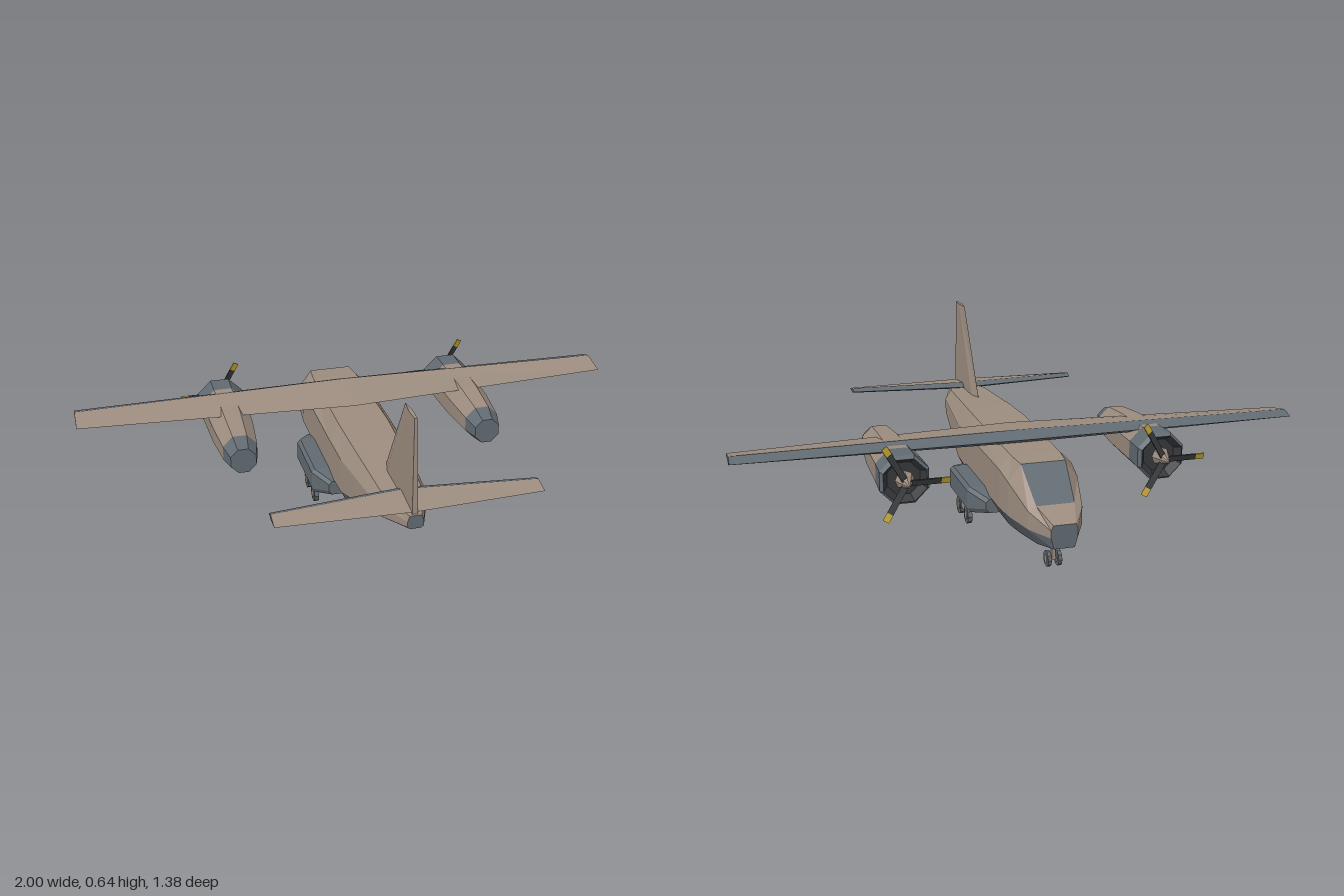
import * as THREE from 'three';

const material = (name, color) => {
  const m = new THREE.MeshStandardMaterial({ color });
  m.name = name;
  return m;
};

export function createModel() {
  const tan = material('tan paint', 0x9c8c7f);
  const grey = material('slate grey', 0x616a71);
  const dark = material('dark metal', 0x36383a);
  const yellow = material('yellow tip', 0xc2a233);
  const root = new THREE.Group();
  root.name = 'aircraft';

  const add = (parent, name, geometry, mat, x = 0, y = 0, z = 0) => {
    const g = geometry.index ? geometry.toNonIndexed() : geometry;
    g.computeVertexNormals(); // unshared corners give flat facets
    const mesh = new THREE.Mesh(g, mat);
    mesh.name = name;
    mesh.position.set(x, y, z);
    parent.add(mesh);
    return mesh;
  };

  // Skin a row of rings; pick(segment, side) chooses the material, caps use segment -1 and 'end'
  const loft = (parent, name, rings, pick) => {
    const tris = [];
    const n = rings[0].length;
    for (let s = 0; s < rings.length - 1; s++) {
      for (let i = 0; i < n; i++) {
        const j = (i + 1) % n;
        const [a, b, c, d] = [rings[s][i], rings[s][j], rings[s + 1][j], rings[s + 1][i]];
        tris.push([pick(s, i), a, b, c], [pick(s, i), a, c, d]);
      }
    }
    const first = rings[0], last = rings[rings.length - 1];
    for (let i = 1; i < n - 1; i++) {
      tris.push([pick(-1, i), first[0], first[i + 1], first[i]]);
      tris.push([pick('end', i), last[0], last[i], last[i + 1]]);
    }
    // Turn the faces outwards if the enclosed volume is negative
    const v = (p) => new THREE.Vector3(...p);
    const volume = tris.reduce((t, [, a, b, c]) => t + v(a).dot(v(b).cross(v(c))), 0);
    const group = new THREE.Group();
    group.name = name;
    for (const mat of new Set(tris.map((t) => t[0]))) {
      const pos = tris.filter((t) => t[0] === mat)
        .flatMap(([, a, b, c]) => (volume < 0 ? [a, c, b] : [a, b, c])).flat();
      const g = new THREE.BufferGeometry();
      g.setAttribute('position', new THREE.Float32BufferAttribute(pos, 3));
      add(group, `${name} ${mat.name}`, g, mat);
    }
    parent.add(group);
    return group;
  };

  // Fuselage: z, belly half width, side half width, roof half width, then four heights upwards
  const body = [
    [-0.69, 0.035, 0.045, 0.038, 0.105, 0.142, 0.168, 0.185],
    [-0.595, 0.06, 0.092, 0.065, 0.09, 0.143, 0.205, 0.22],
    [-0.465, 0.08, 0.12, 0.077, 0.082, 0.145, 0.262, 0.322],
    [-0.38, 0.09, 0.128, 0.085, 0.08, 0.145, 0.282, 0.326],
    [0.05, 0.09, 0.128, 0.09, 0.08, 0.145, 0.282, 0.335],
    [0.2, 0.088, 0.122, 0.085, 0.08, 0.146, 0.275, 0.332],
    [0.51, 0.065, 0.093, 0.07, 0.218, 0.234, 0.285, 0.32],
    [0.69, 0.018, 0.027, 0.02, 0.265, 0.272, 0.292, 0.312],
  ].map(([z, b, w, t, y0, y1, y2, y3]) => {
    const half = [[b, y0, z], [w, y1, z], [w, y2, z], [t, y3, z]];
    return [...half, ...half.map(([x, y]) => [-x, y, z]).reverse()];
  });
  loft(root, 'fuselage', body, (s, i) => {
    if (s === -1 || s === 'end') return grey;
    if (s === 1 && i === 3) return grey; // windscreen
    return i === 0 || i >= 6 ? grey : tan;
  });

  // Wing and tailplane: four-point section with a grey leading edge
  const section = (x, lead, crest, trail, y, up, down) =>
    [[x, y, lead], [x, y + up, crest], [x, y - 0.005, trail], [x, y - down, crest]];
  const paintWing = (s, i) => (i === 0 || i === 3 || s === -1 || s === 'end' ? grey : tan);
  loft(root, 'wing', [
    section(-1, -0.285, -0.24, -0.14, 0.347, 0.015, 0.015),
    section(0, -0.302, -0.25, -0.065, 0.35, 0.023, 0.025),
    section(1, -0.285, -0.24, -0.14, 0.347, 0.015, 0.015),
  ], paintWing);
  loft(root, 'tailplane', [
    section(-0.45, 0.575, 0.6, 0.66, 0.324, 0.009, 0.009),
    section(0, 0.525, 0.558, 0.68, 0.324, 0.013, 0.013),
    section(0.45, 0.575, 0.6, 0.66, 0.324, 0.009, 0.009),
  ], paintWing);

  // Fin: thin diamond sections from root to tip
  const finRing = (y, lead, trail, w) =>
    [[0, y, lead], [w, y, lead + 0.06], [w * 0.7, y, trail], [-w * 0.7, y, trail], [-w, y, lead + 0.06]];
  loft(root, 'fin', [finRing(0.3, 0.334, 0.682, 0.014), finRing(0.645, 0.555, 0.67, 0.007)], () => tan);

  // Engines with three-bladed propellers
  const engineRing = ([z, y, r]) => Array.from({ length: 8 }, (_, i) => {
    const a = (i + 0.5) * Math.PI / 4, R = r / Math.cos(Math.PI / 8);
    return [R * Math.cos(a), y + R * Math.sin(a), z];
  });
  for (const side of [-1, 1]) {
    const engine = new THREE.Group();
    engine.name = side > 0 ? 'leftEngine' : 'rightEngine';
    engine.position.x = side * 0.45;
    root.add(engine);
    const rings = [
      [-0.37, 0.278, 0.055], [-0.4, 0.278, 0.073], [-0.385, 0.278, 0.083], [-0.3, 0.28, 0.08],
      [-0.1, 0.279, 0.074], [0.05, 0.276, 0.061], [0.115, 0.271, 0.045],
    ].map(engineRing);
    loft(engine, 'nacelle', rings, (s) => (s === -1 || s === 0 ? dark : s === 3 || s === 4 ? tan : grey));

    const prop = new THREE.Group();
    prop.name = 'propeller';
    prop.position.set(0, 0.278, -0.425);
    engine.add(prop);
    add(prop, 'spinner', new THREE.ConeGeometry(0.033, 0.08, 8).rotateX(-Math.PI / 2), tan, 0, 0, -0.005);
    add(prop, 'hub', new THREE.CylinderGeometry(0.02, 0.02, 0.04, 8).rotateX(Math.PI / 2), dark, 0, 0, 0.04);
    for (let k = 0; k < 3; k++) {
      const blade = new THREE.Group();
      blade.name = 'blade';
      blade.rotation.z = Math.PI / 3 + k * Math.PI * 2 / 3;
      prop.add(blade);
      const shape = (length) => new THREE.BoxGeometry(length, 0.022, 0.005).rotateX(0.35);
      add(blade, 'bladeArm', shape(0.105), dark, 0.0625);
      add(blade, 'bladeTip', shape(0.03), yellow, 0.13);
    }
  }

  // Wheel with a flush tan hub
  const wheel = (parent, name, r, width, x, y, z) => {
    const disc = (radius, w) => new THREE.CylinderGeometry(radius, radius, w, 10).rotateZ(Math.PI / 2);
    add(parent, name, disc(r, width), grey, x, y, z);
    add(parent, `${name}Hub`, disc(r * 0.55, width + 0.004), tan, x, y, z);
  };

  // Sponsons and main gear
  for (const side of [-1, 1]) {
    const rings = [
      [-0.28, 0.145, 0.09, 0.14], [-0.2, 0.192, 0.07, 0.163],
      [0.045, 0.192, 0.07, 0.163], [0.115, 0.145, 0.09, 0.143],
    ].map(([z, x, y0, y1]) => [
      [0.08, y0, z], [x - 0.012, y0, z], [x, y0 + 0.015, z], [x, y1 - 0.012, z], [x - 0.012, y1, z], [0.08, y1, z],
    ].map(([px, py, pz]) => [side * px, py, pz]));
    loft(root, 'sponson', rings, () => grey);

    const gear = new THREE.Group();
    gear.name = side > 0 ? 'leftMainGear' : 'rightMainGear';
    gear.position.x = side * 0.168;
    root.add(gear);
    add(gear, 'strut', new THREE.BoxGeometry(0.008, 0.06, 0.05), tan, 0, 0.065, -0.068);
    add(gear, 'bogie', new THREE.BoxGeometry(0.008, 0.025, 0.105), tan, 0, 0.045, -0.068);
    for (const z of [-0.015, -0.122]) wheel(gear, 'mainWheel', 0.032, 0.016, 0, 0.032, z);
  }

  // Nose gear
  const noseGear = new THREE.Group();
  noseGear.name = 'noseGear';
  root.add(noseGear);
  add(noseGear, 'noseStrut', new THREE.BoxGeometry(0.012, 0.085, 0.014), tan, 0, 0.065, -0.575);
  add(noseGear, 'noseAxle', new THREE.BoxGeometry(0.036, 0.01, 0.01), tan, 0, 0.028, -0.575);
  for (const x of [-0.018, 0.018]) wheel(noseGear, 'noseWheel', 0.027, 0.012, x, 0.027, -0.575);

  return root;
}
